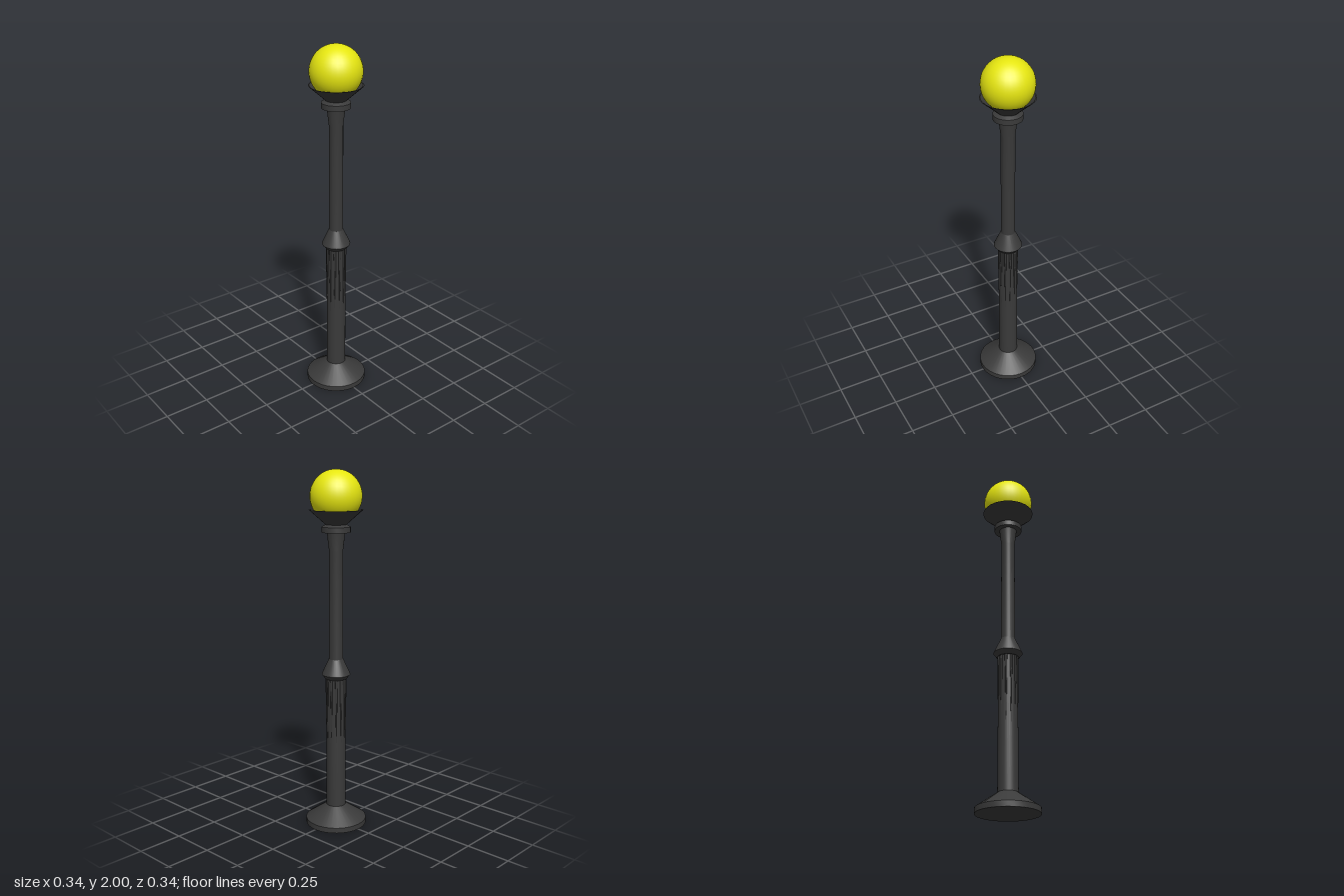
import * as THREE from 'three';
import { toCreasedNormals } from 'three/addons/utils/BufferGeometryUtils.js';

const iron = new THREE.MeshStandardMaterial({ color: 0x3a3a3a, side: THREE.DoubleSide });
const glow = new THREE.MeshStandardMaterial({ color: 0xe6e610 });

export function createModel() {
  const lamp = new THREE.Group();
  lamp.name = 'streetLamp';

  const add = (name, geometry, material = iron, parent = lamp) => {
    const mesh = new THREE.Mesh(geometry, material);
    mesh.name = name;
    parent.add(mesh);
    return mesh;
  };

  // Turned part from [radius, height] pairs, bottom to top, with crisp edges
  const turned = (name, profile) => {
    const points = profile.map(([r, y]) => new THREE.Vector2(r, y));
    add(name, toCreasedNormals(new THREE.LatheGeometry(points, 32), 0.35));
  };

  turned('base', [[0, 0], [0.172, 0], [0.172, 0.03], [0.055, 0.11], [0, 0.11]]);
  turned('lowerColumn', [[0.055, 0.11], [0.053, 0.86]]);
  turned('collar', [[0, 0.858], [0.06, 0.858], [0.08, 0.882], [0.076, 0.892], [0.04, 0.97], [0, 0.97]]);
  turned('upperShaft', [[0.04, 0.96], [0.038, 1.57], [0.05, 1.67]]);
  turned('neckRing', [[0, 1.667], [0.079, 1.667], [0.079, 1.697], [0.055, 1.71], [0, 1.71]]);

  // Open cup with a thin wall, the globe resting inside
  turned('globeCup', [[0.055, 1.707], [0.146, 1.787], [0.14, 1.787], [0.05, 1.712], [0, 1.712]]);
  add('globe', new THREE.SphereGeometry(0.141, 32, 24), glow).position.y = 1.859;

  // Slim ribs that rise out of the lower column towards the collar
  const ribs = new THREE.Group();
  ribs.name = 'columnRibs';
  lamp.add(ribs);
  const count = 12;
  for (let i = 0; i < count; i++) {
    const angle = ((i + 0.5) / count) * Math.PI * 2;
    const rib = add('rib', new THREE.CylinderGeometry(0.008, 0.003, 0.4, 6), iron, ribs);
    rib.position.set(Math.sin(angle) * 0.051, 0.66, Math.cos(angle) * 0.051);
  }
  return lamp;
}
